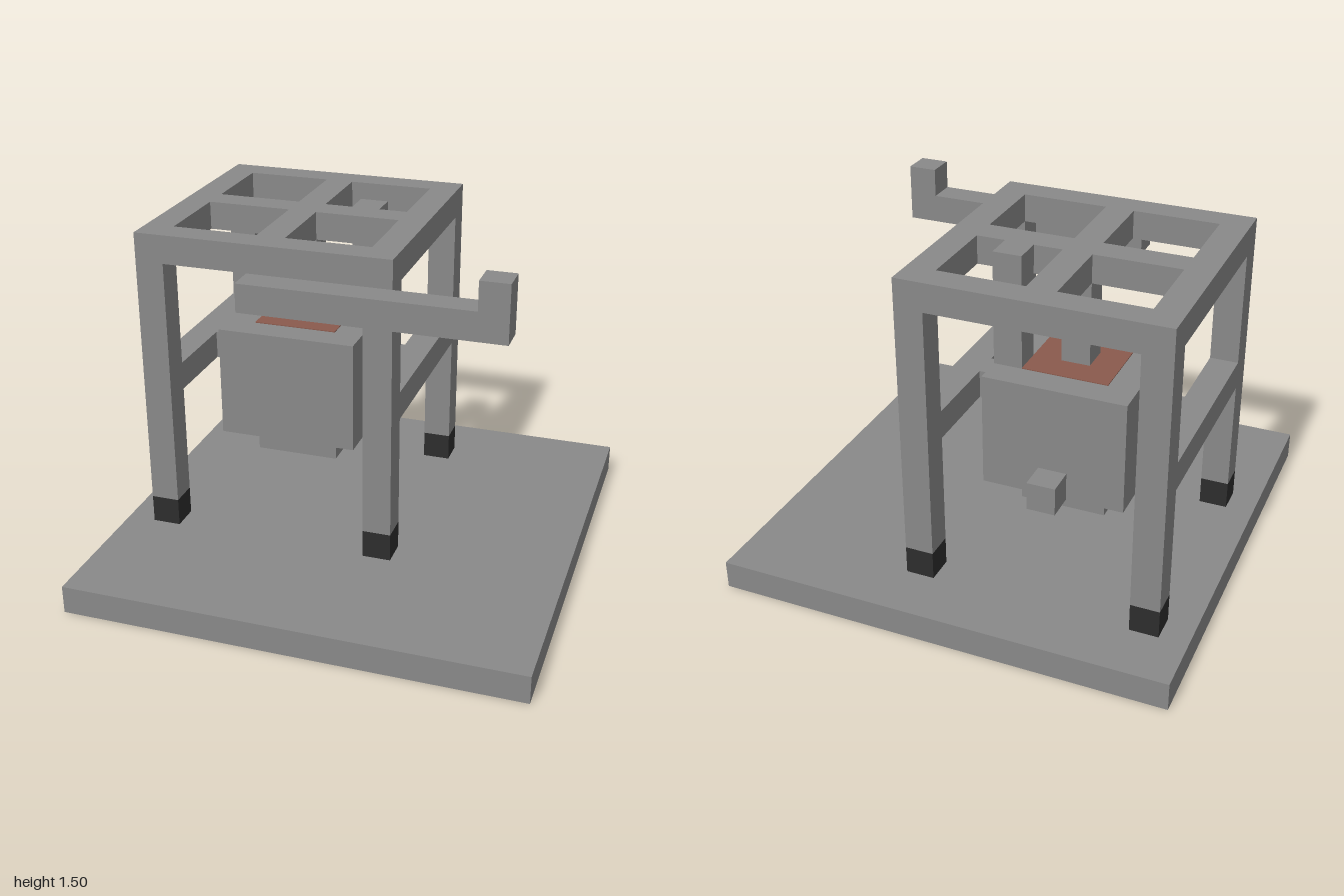
import * as THREE from 'three';

// All parts sit on a grid of 1/8 unit.
const U = 0.125;

export function createModel() {
  const model = new THREE.Group();
  model.name = 'hangingFurnace';

  const material = (name, color) => {
    const m = new THREE.MeshStandardMaterial({ color });
    m.name = name;
    return m;
  };
  const stone = material('stoneGrey', 0x898989);
  const black = material('footBlack', 0x2d2d2d);
  const ember = material('emberRed', 0x8a5a4d);

  // Box given by its minimum and maximum corner in grid steps.
  function box(name, mat, [x0, y0, z0], [x1, y1, z1], parent = model) {
    const geo = new THREE.BoxGeometry((x1 - x0) * U, (y1 - y0) * U, (z1 - z0) * U);
    const mesh = new THREE.Mesh(geo, mat);
    mesh.position.set((x0 + x1) * U / 2, (y0 + y1) * U / 2, (z0 + z1) * U / 2);
    mesh.name = name;
    parent.add(mesh);
    return mesh;
  }

  // Rectangle outline; drawn in the XY plane, with y standing for -z.
  function rect(target, x0, z0, x1, z1) {
    target.moveTo(x0 * U, -z0 * U);
    target.lineTo(x0 * U, -z1 * U);
    target.lineTo(x1 * U, -z1 * U);
    target.lineTo(x1 * U, -z0 * U);
    target.closePath();
    return target;
  }

  box('basePlate', stone, [-8, 0, -8], [8, 1, 8]);

  // Frame: four legs with dark feet, side rails and a four-pane top
  const frame = new THREE.Group();
  frame.name = 'frame';
  model.add(frame);
  for (const x of [-7, 1]) {
    for (const z of [-6, 2]) {
      box('foot', black, [x, 1, z], [x + 1, 2, z + 1], frame);
      box('leg', stone, [x, 2, z], [x + 1, 11, z + 1], frame);
    }
    box('sideRail', stone, [x, 6, -5], [x + 1, 7, 2], frame);
  }
  const outline = rect(new THREE.Shape(), -7, -6, 2, 3);
  for (const x of [-6, -2]) {
    for (const z of [-5, -1]) outline.holes.push(rect(new THREE.Path(), x, z, x + 3, z + 3));
  }
  const topGeo = new THREE.ExtrudeGeometry(outline, { depth: U, bevelEnabled: false });
  topGeo.rotateX(-Math.PI / 2);
  const top = new THREE.Mesh(topGeo, stone);
  top.position.y = 11 * U;
  top.name = 'topGrid';
  frame.add(top);

  // Hanging body with its lower step, rear spout and glowing opening
  const body = new THREE.Group();
  body.name = 'body';
  model.add(body);
  box('bodyBlock', stone, [-5, 4, -4], [0, 8, 1], body);
  box('bodyBottom', stone, [-4, 3, -3], [-1, 4, 0], body);
  box('rearSpout', stone, [-3, 4, -5], [-2, 5, -4], body);
  box('emberPlate', ember, [-4, 8, -3], [-1, 8.03, 0], body);

  // Pivots to the side rails and posts up to the top
  for (const x of [-6, 0]) box('pivot', stone, [x, 6, -2], [x + 1, 7, -1]);
  box('centrePost', stone, [-3, 8, -2], [-2, 11, -1]);
  box('offsetPost', stone, [-1, 8, -3], [0, 12, -2]);

  // Crank arm across the front with an upright grip
  box('crankArm', stone, [-3, 10, 3], [5, 11, 4]);
  box('crankGrip', stone, [5, 10, 3], [6, 12, 4]);

  return model;
}
